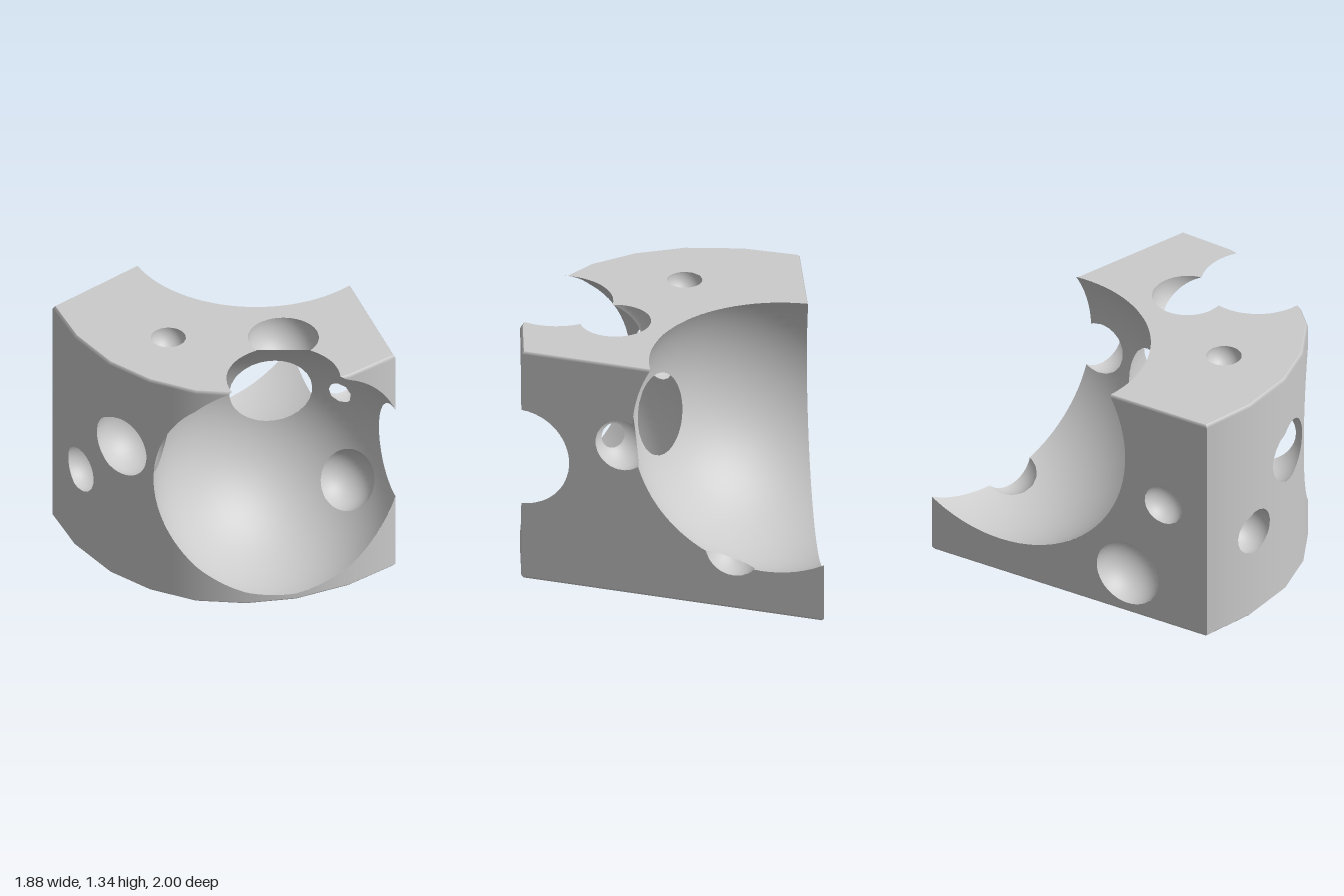
import * as THREE from 'three';

const HEIGHT = 1.34, BEVEL = 0.015;

// Plan outline of the wedge (x, z): tip, right corner, curved front, left corner
const half = [[0.94, 0.4], [0.755, 0.645], [0.515, 0.845], [0.265, 0.957]];
const outline = [[0, -1], ...half, [0, 1], ...half.map(([x, z]) => [-x, z]).reverse()];
const edges = outline.map((p, i) => [p, outline[(i + 1) % outline.length]]);

// Round hollows: name, centre x, y, z, radius
const hollows = [
  ['frontScoop', 0.42, 0.72, 0.76, 0.69],
  ['backScoop', -0.07, 0.97, -0.54, 0.79],
  ['rightSideHole', 0.585, 0.87, -0.035, 0.155],
  ['scoopPit', 0.62, 0.4, 0.25, 0.17],
  ['rightLowerNotch', 0.25, 0.35, -0.56, 0.16],
  ['topLargeHole', 0.32, 1.32, 0.38, 0.19],
  ['topSmallHole', -0.27, 1.33, 0.535, 0.095],
  ['frontTunnel', -0.39, 0.84, 0.77, 0.21],
  ['frontSmallHole', -0.69, 0.515, 0.64, 0.135],
  ['leftSmallHole', -0.79, 0.75, 0.18, 0.115],
  ['leftLargeHole', -0.665, 0.245, 0, 0.19],
  ['bottomHole', -0.47, 0, 0.56, 0.19],
].map(([name, x, y, z, r]) => ({ name, c: new THREE.Vector3(x, y, z), r }));

// Signed tests: positive where surface is kept
const outsideHollow = (h) => (p) => p.distanceTo(h.c) - h.r;
const insideWedge = [
  (p) => p.y,
  (p) => HEIGHT - p.y,
  ...edges.map(([[ax, az], [bx, bz]]) => {
    const len = Math.hypot(bx - ax, bz - az);
    return (p) => ((bx - ax) * (p.z - az) - (bz - az) * (p.x - ax)) / len;
  }),
];

const mix = (a, b, t) => ({ p: a.p.clone().lerp(b.p, t), n: a.n.clone().lerp(b.n, t).normalize() });

// Trim one polygon to the positive side of a test
function clip(poly, test) {
  const d = poly.map((v) => test(v.p));
  if (d.every((x) => x >= 0)) return poly;
  const out = [];
  poly.forEach((v, i) => {
    const j = (i + 1) % poly.length;
    if (d[i] >= 0) out.push(v);
    if ((d[i] >= 0) !== (d[j] >= 0)) {
      // always interpolate from the kept side so shared edges match
      out.push(d[i] >= 0 ? mix(v, poly[j], d[i] / (d[i] - d[j])) : mix(poly[j], v, d[j] / (d[j] - d[i])));
    }
  });
  return out;
}

// Trim all triangles by all tests and make one mesh
function carve(name, triangles, tests, material) {
  const pos = [], nor = [];
  for (const tri of triangles) {
    let poly = tri;
    for (const test of tests) {
      poly = clip(poly, test);
      if (poly.length < 3) break;
    }
    for (let i = 1; i + 1 < poly.length; i++) {
      for (const v of [poly[0], poly[i], poly[i + 1]]) {
        pos.push(v.p.x, v.p.y, v.p.z);
        nor.push(v.n.x, v.n.y, v.n.z);
      }
    }
  }
  const g = new THREE.BufferGeometry();
  g.setAttribute('position', new THREE.Float32BufferAttribute(pos, 3));
  g.setAttribute('normal', new THREE.Float32BufferAttribute(nor, 3));
  const mesh = new THREE.Mesh(g, material);
  mesh.name = name;
  return mesh;
}

// Subdivided four-cornered patch, corners counter-clockwise from outside
function patch(a, b, c, d, nu, nv) {
  const tris = [];
  const at = (i, j) => mix(mix(a, b, i / nu), mix(d, c, i / nu), j / nv);
  for (let i = 0; i < nu; i++) {
    for (let j = 0; j < nv; j++) {
      const q = [at(i, j), at(i + 1, j), at(i + 1, j + 1), at(i, j + 1)];
      tris.push([q[0], q[1], q[2]], [q[0], q[2], q[3]]);
    }
  }
  return tris;
}

function wedgeTriangles() {
  const tris = [];
  const vert = ([x, z], y, inset, n) => {
    const s = 1 - inset;
    return { p: new THREE.Vector3(x * s, y, 0.1 + (z - 0.1) * s), n: n.clone().normalize() };
  };
  edges.forEach(([a, b], i) => {
    // Flat cut sides, smoothly rounded front
    const curved = i > 0 && i < edges.length - 1;
    const flat = new THREE.Vector3(b[1] - a[1], 0, a[0] - b[0]).normalize();
    const normal = (p, tilt) => (curved ? new THREE.Vector3(p[0], 0, p[1] + 0.036).normalize() : flat.clone())
      .setY(tilt);
    const rows = [[0, BEVEL, -1], [BEVEL, 0, 0], [HEIGHT - BEVEL, 0, 0], [HEIGHT, BEVEL, 1]];
    const nu = curved ? 8 : 44;
    for (let k = 0; k < 3; k++) {
      const [y0, s0, t0] = rows[k], [y1, s1, t1] = rows[k + 1];
      tris.push(...patch(
        vert(b, y0, s0, normal(b, t0)), vert(a, y0, s0, normal(a, t0)),
        vert(a, y1, s1, normal(a, t1)), vert(b, y1, s1, normal(b, t1)), nu, k === 1 ? 36 : 1));
    }
    // Top and bottom, as slices fanning from the tip
    if (curved) {
      const cap = (p, y, up) => vert(p, y, BEVEL, new THREE.Vector3(0, up, 0));
      const tip = outline[0];
      tris.push(...patch(cap(tip, HEIGHT, 1), cap(b, HEIGHT, 1), cap(a, HEIGHT, 1), cap(tip, HEIGHT, 1), 50, 8));
      tris.push(...patch(cap(tip, 0, -1), cap(a, 0, -1), cap(b, 0, -1), cap(tip, 0, -1), 50, 8));
    }
  });
  return tris;
}

// Sphere facing inwards
function hollowTriangles({ c, r }) {
  const n = r > 0.5 ? 96 : 48;
  const g = new THREE.SphereGeometry(1, n, n / 2).toNonIndexed();
  const pos = g.attributes.position, tris = [];
  for (let i = 0; i < pos.count; i += 3) {
    tris.push([i, i + 2, i + 1].map((k) => {
      const u = new THREE.Vector3().fromBufferAttribute(pos, k);
      return { p: u.clone().multiplyScalar(r).add(c), n: u.negate() };
    }));
  }
  return tris;
}

export function createModel() {
  const group = new THREE.Group();
  group.name = 'cheeseWedge';
  const material = new THREE.MeshStandardMaterial({ color: 0xcccccc });
  group.add(carve('wedgeBody', wedgeTriangles(), hollows.map(outsideHollow), material));
  for (const h of hollows) {
    const tests = [...insideWedge, ...hollows.filter((o) => o !== h).map(outsideHollow)];
    group.add(carve(h.name, hollowTriangles(h), tests, material));
  }
  return group;
}
